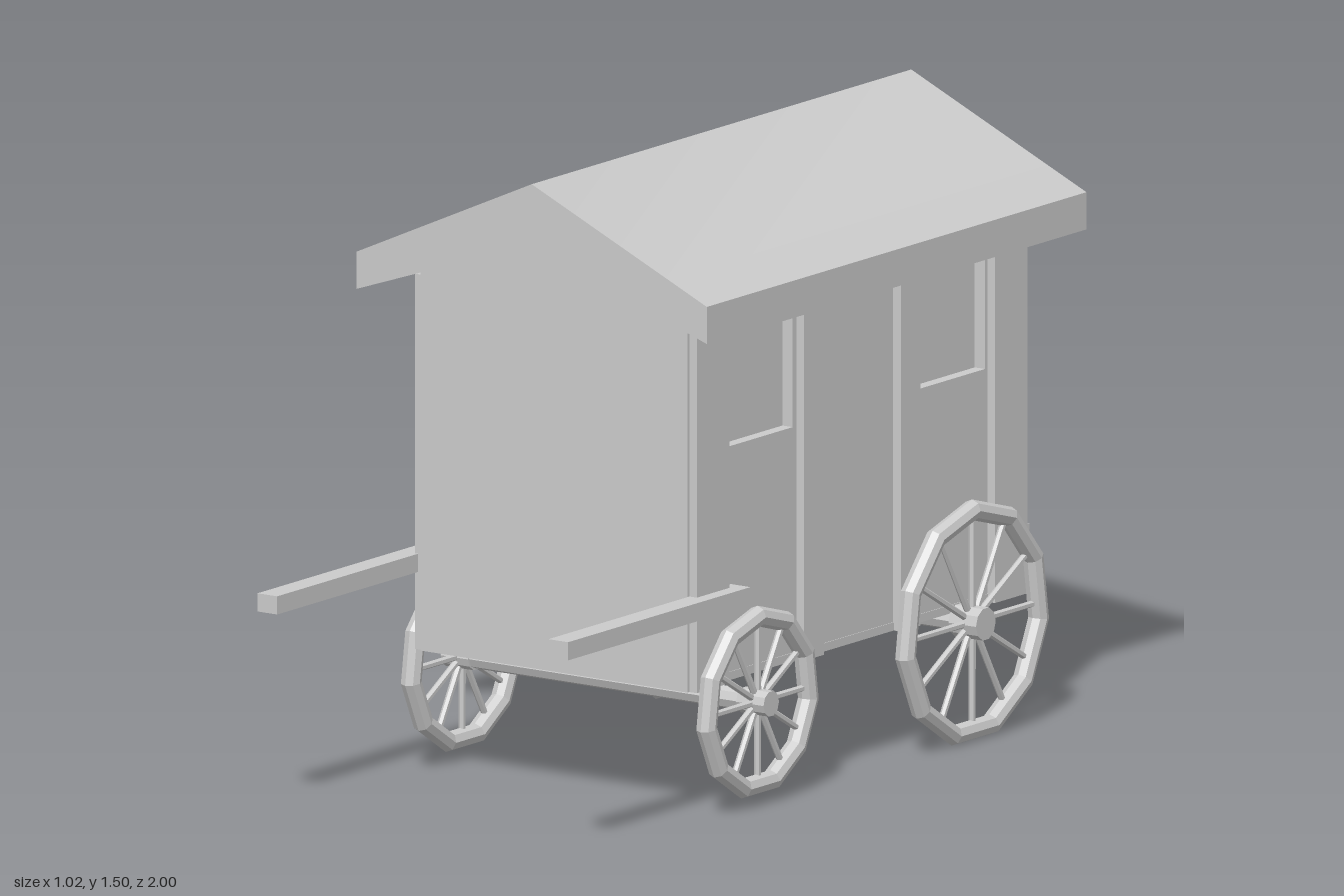
import * as THREE from 'three';
import { toCreasedNormals } from 'three/addons/utils/BufferGeometryUtils.js';

const flat = new THREE.MeshStandardMaterial({ color: 0xcccccc, flatShading: true });
const smooth = new THREE.MeshStandardMaterial({ color: 0xcccccc });

function add(parent, name, geometry, x = 0, y = 0, z = 0, material = flat) {
  const mesh = new THREE.Mesh(geometry, material);
  mesh.name = name;
  mesh.position.set(x, y, z);
  parent.add(mesh);
  return mesh;
}

const box = (w, h, d) => new THREE.BoxGeometry(w, h, d);
const outline = (points) => new THREE.Shape(points.map(([x, y]) => new THREE.Vector2(x, y)));
const rect = (x0, x1, y0, y1) => [[x0, y0], [x1, y0], [x1, y1], [x0, y1]];

function slab(points, depth, holes = []) {
  const shape = outline(points);
  shape.holes = holes.map((h) => outline(h));
  return new THREE.ExtrudeGeometry(shape, { depth, bevelEnabled: false });
}

// Spoked wheel in the x-y plane, turned so its axle lies along x
function wheel(name, radius) {
  const group = new THREE.Group();
  group.name = name;
  const tube = 0.025;
  const rim = new THREE.TorusGeometry(radius - tube, tube, 8, 11);
  rim.rotateZ(Math.PI / 2);
  rim.rotateY(Math.PI / 2);
  add(group, 'rim', rim);
  const hubRadius = radius * 0.135;
  const hub = new THREE.CylinderGeometry(hubRadius, hubRadius, 0.08, 10);
  hub.rotateZ(Math.PI / 2);
  add(group, 'hub', hub);
  const length = radius - tube;
  for (let i = 0; i < 12; i++) {
    const spoke = new THREE.CylinderGeometry(0.008, 0.009, length, 6);
    spoke.translate(0, length / 2, 0);
    spoke.rotateX((i / 12) * Math.PI * 2);
    add(group, 'spoke', spoke);
  }
  return group;
}

export function createModel() {
  const model = new THREE.Group();
  model.name = 'wagon';
  const floorY = 0.305;

  // Floor and gabled end walls
  add(model, 'floor', box(0.78, 0.02, 1.3), 0, floorY + 0.01, -0.23);
  const gable = [[-0.388, floorY], [0.388, floorY], [0.388, 1.222], [0, 1.355], [-0.388, 1.222]];
  add(model, 'frontWall', slab(gable, 0.03), 0, 0, 0.41);
  add(model, 'backWall', slab(gable, 0.03, [rect(-0.2, 0.2, 0.48, 0.99)]), 0, 0, -0.9);

  // Side walls with recessed windows and raised upright boards
  const windows = [[0.015, 0.29], [-0.76, -0.485]];
  const boards = [[0.3, 0.432], [-0.08, 0], [-0.47, -0.39], [-0.9, -0.77]];
  for (const side of [1, -1]) {
    const wall = slab(rect(-0.87, 0.41, floorY, 1.22), 0.03,
      windows.map(([a, b]) => rect(a, b, 0.87, 1.15)));
    wall.rotateY(-Math.PI / 2);
    add(model, 'sideWall', wall, side > 0 ? 0.388 : -0.358);
    for (const [a, b] of windows) {
      add(model, 'windowPane', box(0.012, 0.3, b - a + 0.02), side * 0.352, 1.01, (a + b) / 2);
    }
    for (const [a, b] of boards) {
      add(model, 'uprightBoard', box(0.022, 0.907, b - a), side * 0.399, floorY + 0.4535, (a + b) / 2);
    }
  }

  // Pitched roof, softly shaded over the ridge
  const roof = slab([[-0.51, 1.18], [0, 1.355], [0.51, 1.18], [0.51, 1.27], [0, 1.5], [-0.51, 1.27]], 1.53);
  add(model, 'roof', toCreasedNormals(roof, 0.95), 0, 0, -1, smooth);

  // Leaning tailboard with a raised middle
  const tail = slab([
    [-0.39, 0], [0.39, 0], [0.39, 0.16], [0.235, 0.16], [0.2, 0.2],
    [0.19, 0.275], [-0.19, 0.275], [-0.2, 0.2], [-0.235, 0.16], [-0.39, 0.16],
  ], 0.015);
  add(model, 'tailboard', tail, 0, floorY, -0.917).rotation.x = -0.127;

  // Tied sack seen through the back opening
  const sack = new THREE.Group();
  sack.name = 'sack';
  sack.position.set(0.1, 0.6, -0.68);
  sack.rotation.z = 0.2;
  add(sack, 'sackBody', new THREE.SphereGeometry(0.18, 9, 6)).scale.y = 1.08;
  add(sack, 'sackNeck', new THREE.CylinderGeometry(0.06, 0.035, 0.07, 8), 0, 0.225, 0);
  const tie = new THREE.TorusGeometry(0.038, 0.015, 6, 8);
  tie.rotateX(Math.PI / 2);
  add(sack, 'sackTie', tie, 0, 0.195, 0);
  model.add(sack);

  // Axles, wheels and shafts
  const axles = [['front', 0.232, 0.248, 0.215], ['rear', 0.296, 0.284, -0.65]];
  for (const [name, radius, y, z] of axles) {
    const axle = new THREE.CylinderGeometry(0.027, 0.027, 0.84, 8);
    axle.rotateZ(Math.PI / 2);
    add(model, name + 'Axle', axle, 0, y, z);
    for (const side of [1, -1]) {
      const w = wheel(name + 'Wheel', radius);
      w.position.set(side * 0.43, y, z);
      model.add(w);
    }
  }
  for (const x of [0.417, -0.43]) {
    add(model, 'shaft', box(0.057, 0.044, 0.735), x, 0.514, 0.6325);
  }
  return model;
}
